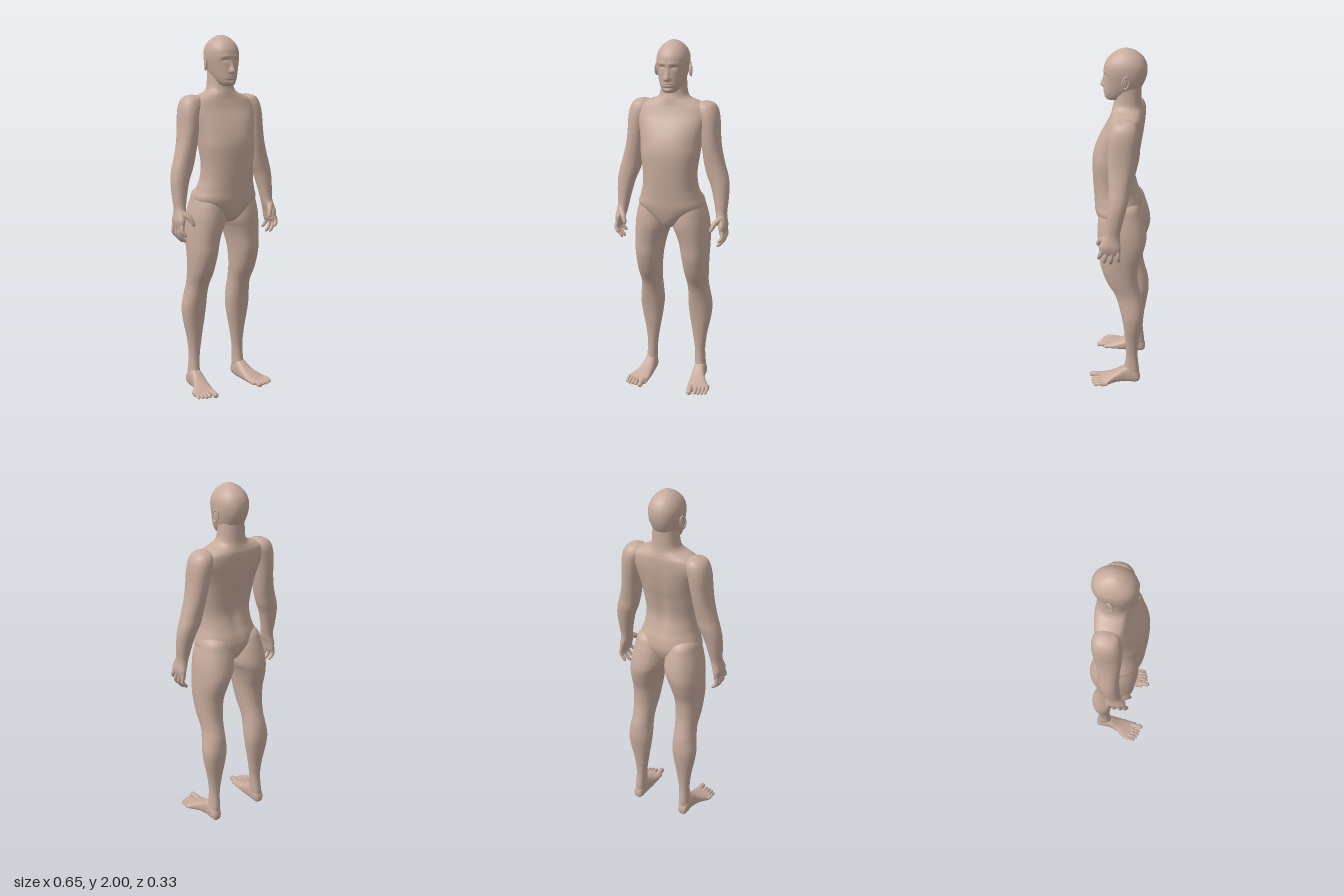
import * as THREE from 'three';
import { mergeVertices } from 'three/addons/utils/BufferGeometryUtils.js';

const skin = new THREE.MeshStandardMaterial({ color: 0xc7ab9c });
skin.name = 'skin';

const spline = (a, b, c, d, t) =>
  0.5 * (2 * b + (c - a) * t + (2 * a - 5 * b + 4 * c - d) * t * t + (3 * b - a - 3 * c + d) * t * t * t);

// Smooth skin through horizontal sections, listed upwards: [y, x0, x1, z0, z1, squareness]
function loft(rows, sides = 40, steps = 6) {
  const pos = [], index = [];
  const row = (i) => rows[Math.min(Math.max(i, 0), rows.length - 1)];
  const rings = (rows.length - 1) * steps;
  for (let i = 0; i <= rings; i++) {
    const k = Math.floor(i / steps), t = i / steps - k;
    const [y, x0, x1, z0, z1, n] = [0, 1, 2, 3, 4, 5].map((c) =>
      spline(...[-1, 0, 1, 2].map((o) => row(k + o)[c] ?? 2.2), t));
    for (let j = 0; j < sides; j++) {
      const a = (j / sides) * Math.PI * 2, c = Math.cos(a), s = Math.sin(a);
      const px = Math.sign(c) * Math.abs(c) ** (2 / n), pz = Math.sign(s) * Math.abs(s) ** (2 / n);
      pos.push((x0 + x1) / 2 + (px * (x1 - x0)) / 2, y, (z0 + z1) / 2 + (pz * (z1 - z0)) / 2);
      if (i < rings) {
        const p = i * sides + j, q = i * sides + ((j + 1) % sides);
        index.push(p, p + sides, q, q, p + sides, q + sides);
      }
    }
  }
  const g = new THREE.BufferGeometry();
  g.setAttribute('position', new THREE.Float32BufferAttribute(pos, 3));
  g.setIndex(index);
  g.computeVertexNormals();
  return g;
}

// Move every vertex by a rule
function bend(g, rule) {
  const p = g.attributes.position, v = new THREE.Vector3();
  for (let i = 0; i < p.count; i++) {
    rule(v.fromBufferAttribute(p, i));
    p.setXYZ(i, v.x, v.y, v.z);
  }
  g.computeVertexNormals();
  return g;
}

// Round-tipped finger or toe along a path
function digit(points, r0, r1) {
  const curve = new THREE.CatmullRomCurve3(points.map((p) => new THREE.Vector3(...p)));
  const n = 24, m = 12;
  let g = new THREE.TubeGeometry(curve, n, 1, m);
  const p = g.attributes.position, v = new THREE.Vector3();
  for (let i = 0; i <= n; i++) {
    const t = i / n, c = curve.getPointAt(t);
    const tip = t > 0.8 ? Math.sqrt(Math.max(0, 1 - ((t - 0.8) / 0.2) ** 2)) : 1;
    const r = (r0 + (r1 - r0) * t) * tip;
    for (let j = 0; j <= m; j++) {
      const k = i * (m + 1) + j;
      v.fromBufferAttribute(p, k).sub(c).multiplyScalar(r).add(c);
      p.setXYZ(k, v.x, v.y, v.z);
    }
  }
  g.deleteAttribute('uv');
  g.deleteAttribute('normal');
  g = mergeVertices(g, 1e-5);
  g.computeVertexNormals();
  return g;
}

function mirrored(geometry) {
  const g = geometry.clone().scale(-1, 1, 1);
  const a = g.index.array;
  for (let i = 0; i < a.length; i += 3) [a[i], a[i + 1]] = [a[i + 1], a[i]];
  g.computeVertexNormals();
  return g;
}

const bump = (d, w) => Math.exp(-((d / w) ** 2));

export function createModel() {
  const model = new THREE.Group();
  model.name = 'standingFigure';
  const add = (name, g) => {
    const mesh = new THREE.Mesh(g, skin);
    mesh.name = name;
    model.add(mesh);
  };
  const pair = (name, g) => {
    add('left' + name, g);
    add('right' + name, mirrored(g));
  };
  const even = ([y, w, z0, z1, n]) => [y, -w, w, z0, z1, n];

  // Torso and neck, with a shallow groove along the spine
  const torso = loft([
    [0.975, 0, 0.03, 0.03], [0.99, 0.035, -0.03, 0.09], [1.03, 0.09, -0.09, 0.118],
    [1.1, 0.18, -0.122, 0.134], [1.16, 0.171, -0.118, 0.138], [1.22, 0.155, -0.098, 0.142],
    [1.3, 0.152, -0.082, 0.146], [1.4, 0.165, -0.096, 0.146], [1.47, 0.172, -0.112, 0.131],
    [1.54, 0.185, -0.122, 0.1, 2.4], [1.6, 0.2, -0.127, 0.066, 2.6], [1.65, 0.188, -0.127, 0.046, 2.5],
    [1.675, 0.145, -0.122, 0.04], [1.695, 0.092, -0.117, 0.036], [1.73, 0.073, -0.113, 0.028],
    [1.82, 0.066, -0.112, 0.02],
  ].map(even), 56);
  add('torso', bend(torso, (v) => {
    if (v.z < -0.03) v.z += 0.012 * bump(v.x, 0.03) * bump(v.y - 1.36, 0.2);
  }));

  // Head, with sockets, brow, nose, mouth and chin pressed into the face
  const head = loft([
    [1.725, 0, 0.035, 0.035], [1.73, 0.03, 0.0, 0.066], [1.745, 0.046, -0.04, 0.079],
    [1.77, 0.06, -0.08, 0.083], [1.8, 0.071, -0.112, 0.082], [1.84, 0.081, -0.132, 0.081],
    [1.88, 0.087, -0.141, 0.083], [1.92, 0.085, -0.138, 0.077], [1.955, 0.07, -0.12, 0.055],
    [1.982, 0.045, -0.088, 0.022], [1.996, 0.02, -0.055, -0.008], [2, 0, -0.032, -0.032],
  ].map(even), 112, 10);
  add('head', bend(head, (v) => {
    if (v.z < 0.02) return;
    const ax = Math.abs(v.x), y = v.y;
    const nose = y > 1.802 ? bump(y - 1.802, 0.042) : bump(y - 1.802, 0.009);
    const width = 0.009 + 0.006 * bump(y - 1.805, 0.015);
    v.z += 0.02 * nose * bump(v.x, width)
      - 0.011 * bump(ax - 0.033, 0.017) * bump(y - 1.862, 0.011)
      + 0.005 * bump(ax - 0.033, 0.012) * bump(y - 1.857, 0.006)
      + 0.004 * bump(ax - 0.03, 0.025) * bump(y - 1.884, 0.009)
      + 0.005 * bump(v.x, 0.022) * bump(y - 1.773, 0.011)
      - 0.006 * bump(v.x, 0.022) * bump(y - 1.773, 0.003)
      - 0.004 * bump(v.x, 0.03) * bump(y - 1.757, 0.006)
      + 0.004 * bump(v.x, 0.02) * bump(y - 1.741, 0.008);
  }));

  // Ears: a thin lobe with a raised rim
  const place = (g) => g.rotateX(-0.15).rotateY(0.35).translate(0.091, 1.845, -0.038);
  pair('EarLobe', place(new THREE.SphereGeometry(1, 20, 14).scale(0.008, 0.033, 0.018)));
  pair('EarRim', place(new THREE.TorusGeometry(0.018, 0.0045, 10, 28)
    .rotateY(Math.PI / 2).scale(1, 1.7, 0.95).translate(0.005, 0, 0)));

  // Arm running from the shoulder down into the palm
  pair('Arm', loft([
    [0.95, 0.3, 0.3, 0.015, 0.015], [0.958, 0.288, 0.312, -0.03, 0.058], [0.975, 0.284, 0.32, -0.041, 0.069],
    [1.01, 0.276, 0.326, -0.042, 0.072], [1.045, 0.264, 0.321, -0.037, 0.057], [1.08, 0.256, 0.318, -0.037, 0.042],
    [1.14, 0.243, 0.322, -0.05, 0.036], [1.22, 0.221, 0.323, -0.068, 0.031], [1.28, 0.196, 0.313, -0.08, 0.029],
    [1.34, 0.18, 0.295, -0.085, 0.03], [1.42, 0.167, 0.274, -0.098, 0.035], [1.5, 0.155, 0.263, -0.11, 0.038],
    [1.58, 0.14, 0.258, -0.118, 0.036], [1.635, 0.125, 0.247, -0.115, 0.026], [1.668, 0.14, 0.222, -0.095, 0.005],
    [1.682, 0.175, 0.175, -0.05, -0.05],
  ]));

  // Fingers curl inward: base z, tip x, tip y, tip z
  [[0.057, 0.29, 0.925, 0.082], [0.03, 0.277, 0.89, 0.053], [0.001, 0.274, 0.885, 0.016],
    [-0.028, 0.28, 0.905, -0.03]].forEach(([z, x, y, tz], i) =>
    pair('Finger' + (i + 1), digit(
      [[0.302, 0.99, z], [0.309, (0.98 + y) / 2, (z + tz) / 2], [x, y, tz]], 0.0135, 0.009)));
  pair('Thumb', digit([[0.292, 1.05, 0.035], [0.265, 1.025, 0.071], [0.246, 0.982, 0.092]], 0.019, 0.01));

  // Leg from the buttock to the ankle
  pair('Leg', loft([
    [0.04, 0.152, 0.152, -0.09, -0.09], [0.05, 0.13, 0.176, -0.128, -0.05], [0.08, 0.122, 0.183, -0.134, -0.043],
    [0.13, 0.121, 0.18, -0.129, -0.05], [0.2, 0.117, 0.178, -0.124, -0.055], [0.3, 0.102, 0.19, -0.132, -0.05],
    [0.4, 0.085, 0.21, -0.147, -0.04], [0.48, 0.077, 0.217, -0.156, -0.027], [0.56, 0.08, 0.206, -0.15, -0.007],
    [0.62, 0.08, 0.2, -0.135, 0.015], [0.7, 0.072, 0.206, -0.119, 0.06], [0.8, 0.06, 0.212, -0.122, 0.092],
    [0.88, 0.045, 0.214, -0.145, 0.099], [0.94, 0.026, 0.213, -0.159, 0.106], [0.98, 0.008, 0.211, -0.16, 0.11],
    [1.03, 0.003, 0.205, -0.152, 0.11], [1.1, 0.012, 0.188, -0.132, 0.1], [1.16, 0.045, 0.165, -0.1, 0.065],
    [1.2, 0.1, 0.1, 0, 0],
  ]));

  // Foot: sections run from heel to ball as [z, x0, x1, bottom, top]
  const foot = loft([
    [-0.141, 0.155, 0.155, 0.035, 0.035], [-0.136, 0.136, 0.175, 0.012, 0.06], [-0.12, 0.126, 0.184, 0.003, 0.085],
    [-0.08, 0.121, 0.188, 0, 0.115], [-0.045, 0.119, 0.191, 0, 0.105], [0, 0.118, 0.205, 0, 0.074],
    [0.05, 0.12, 0.23, 0, 0.051], [0.09, 0.124, 0.246, 0, 0.037], [0.115, 0.13, 0.244, 0.003, 0.029],
    [0.122, 0.187, 0.187, 0.015, 0.015],
  ].map(([z, x0, x1, y0, y1]) => [z, x0, x1, -y1, -y0, 2.5])).rotateX(Math.PI / 2);
  pair('Foot', bend(foot, (v) => {
    if (v.z > 0) v.z -= (v.x - 0.14) * 0.3 * Math.min(1, v.z / 0.1);
  }));

  // Toes: x, tip z, radius
  [[0.149, 0.165, 0.015], [0.18, 0.15, 0.0105], [0.201, 0.147, 0.01], [0.221, 0.14, 0.0095],
    [0.24, 0.128, 0.009]].forEach(([x, z, r], i) =>
    pair('Toe' + (i + 1), digit(
      [[x - 0.004, 0.02, z - 0.08], [x, 0.023, z - 0.04], [x + 0.001, r + 0.003, z]], r * 1.1, r)));

  return model;
}
